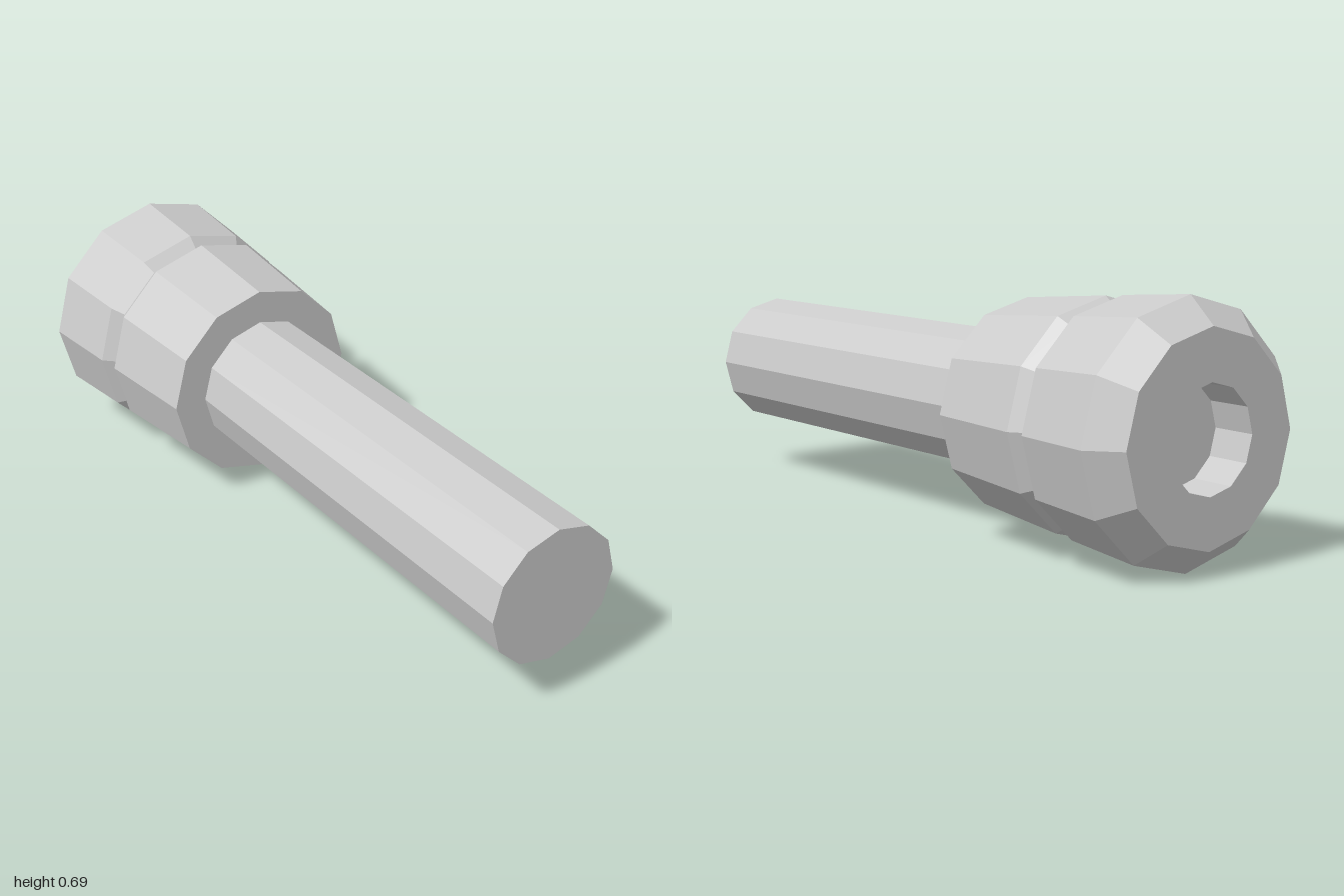
import * as THREE from 'three';

const SIDES = 12;
const AXIS_HEIGHT = 0.345;

// Turns a list of [position along x, radius] into a faceted solid lying along x
function turned(name, profile) {
  const points = profile.map(([x, r]) => new THREE.Vector2(r, x));
  const geometry = new THREE.LatheGeometry(points, SIDES).rotateZ(-Math.PI / 2);
  const material = new THREE.MeshStandardMaterial({ color: 0xcccccc, flatShading: true });
  const mesh = new THREE.Mesh(geometry, material);
  mesh.name = name;
  mesh.position.y = AXIS_HEIGHT;
  return mesh;
}

export function createModel() {
  const model = new THREE.Group();
  model.name = 'boltWithSocketHead';

  // Tapered head: socket floor and wall, bevelled rim, V groove, flat shoulder
  model.add(turned('head', [
    [-0.875, 0], [-0.875, 0.14], [-1, 0.14],
    [-1, 0.275], [-0.92, 0.345], [-0.68, 0.326],
    [-0.65, 0.295], [-0.615, 0.32],
    [-0.3, 0.293], [-0.3, 0.195],
  ]));

  // Plain shaft with a closed end
  model.add(turned('shaft', [[-0.3, 0.195], [1, 0.195], [1, 0]]));

  return model;
}
